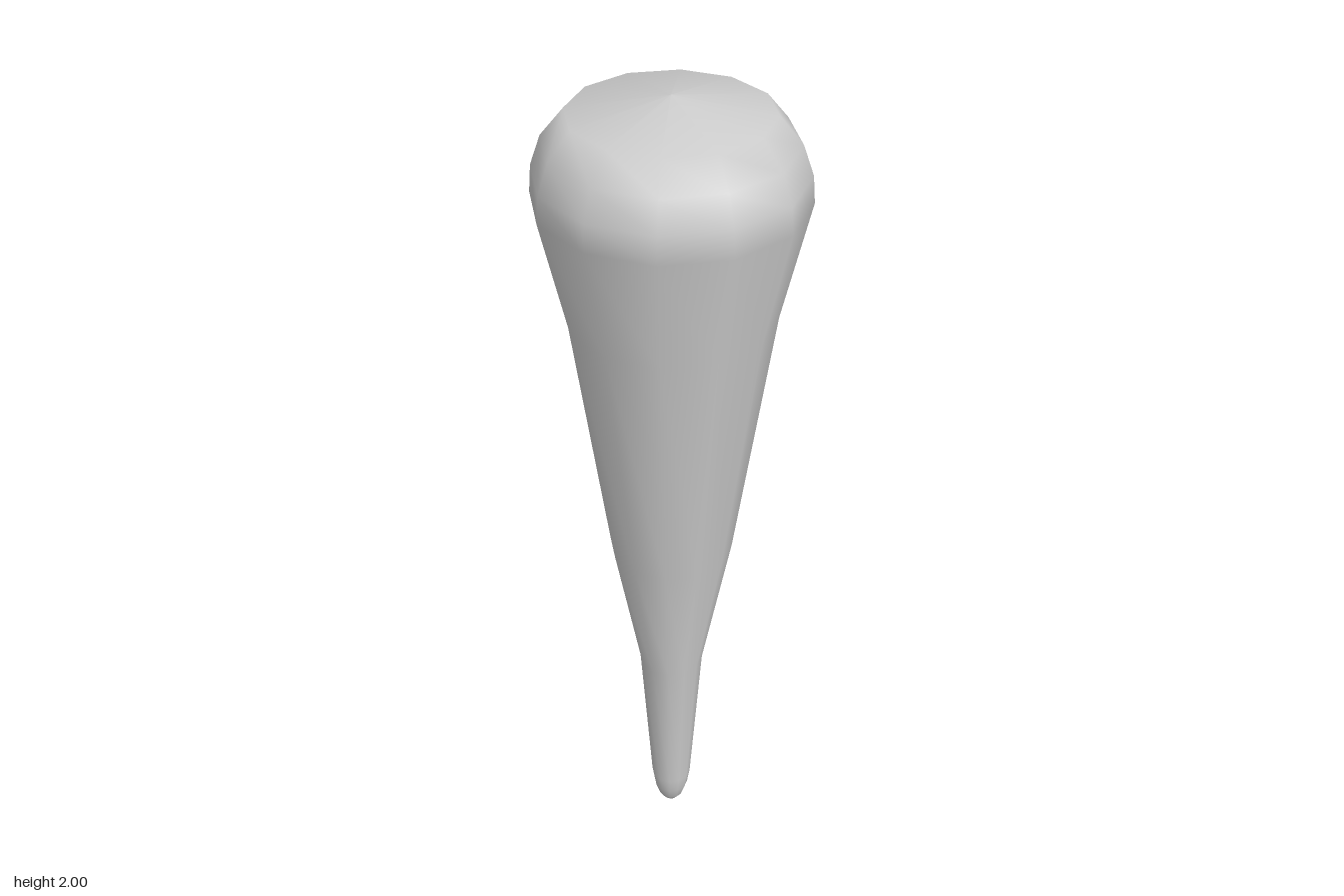
import * as THREE from 'three';

export function createModel() {
  const group = new THREE.Group();
  group.name = 'taperedClub';

  // Radius and height, from the small rounded tip up to the domed head
  const profile = [
    [0, 0], [0.018, 0], [0.032, 0.02], [0.043, 0.055], [0.05, 0.1],
    [0.078, 0.515], [0.145, 0.88], [0.232, 1.51],
    [0.293, 1.78], [0.288, 1.84], [0.265, 1.905], [0.215, 1.965], [0, 2],
  ].map(([r, y]) => new THREE.Vector2(r, y));

  // Twelve-sided turned body with smooth shading
  const body = new THREE.Mesh(
    new THREE.LatheGeometry(profile, 12),
    new THREE.MeshStandardMaterial({ color: 0xcccccc })
  );
  body.name = 'body';
  group.add(body);
  return group;
}
